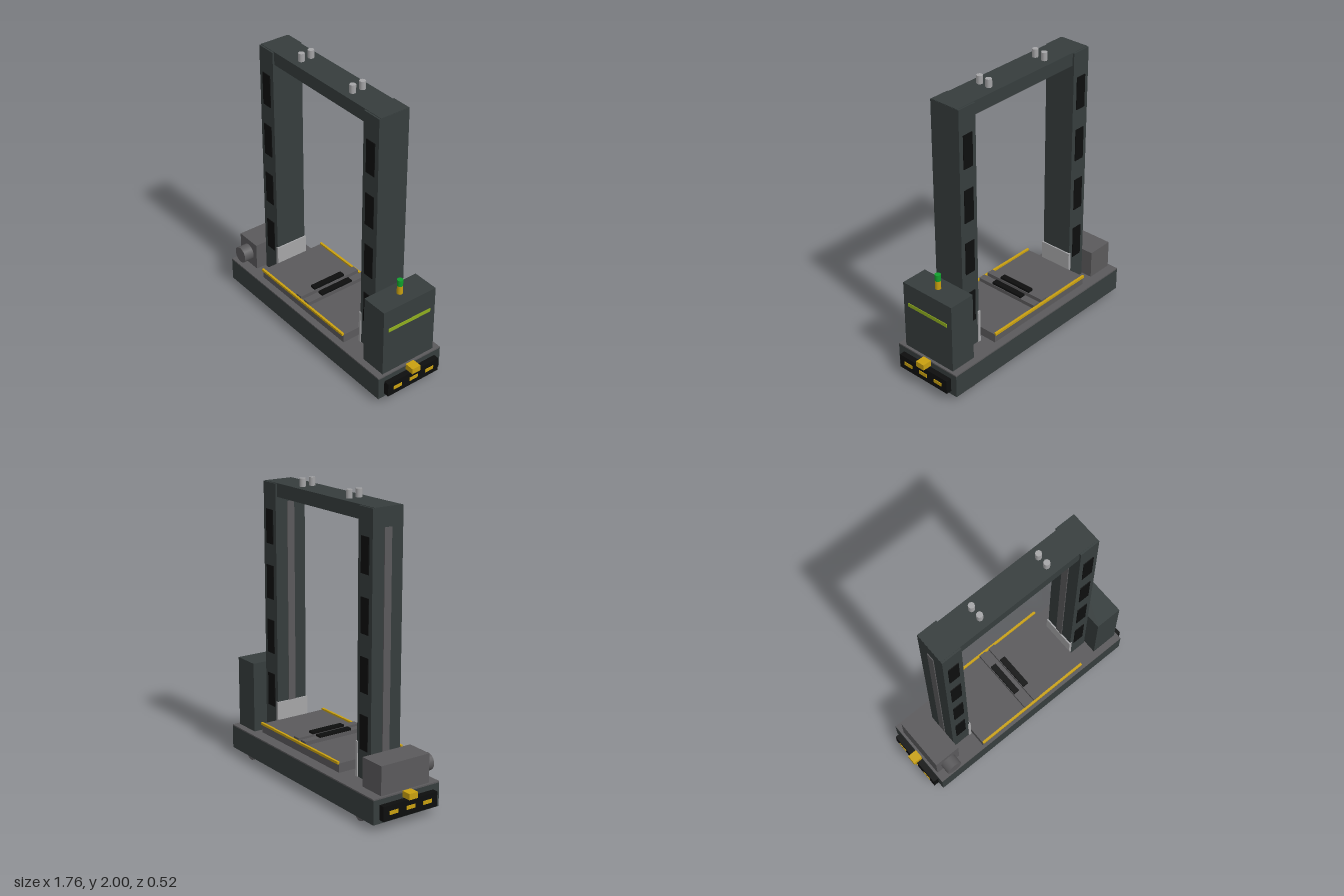
import * as THREE from 'three';

const mat = (name, color) => {
  const m = new THREE.MeshStandardMaterial({ color });
  m.name = name;
  return m;
};

export function createModel() {
  const root = new THREE.Group();
  root.name = 'storageLift';
  const dark = mat('dark slate', 0x363d3d);
  const grey = mat('mid grey', 0x5a595b);
  const light = mat('light grey', 0xa5a5a7);
  const black = mat('black', 0x0d0e0e);
  const yellow = mat('safety yellow', 0xc9a010);
  const green = mat('signal green', 0x12a02c);
  const lime = mat('lime', 0x8fad1f);

  const add = (name, geo, m, x, y, z) => {
    const mesh = new THREE.Mesh(geo, m);
    mesh.name = name;
    mesh.position.set(x, y, z);
    root.add(mesh);
    return mesh;
  };
  // box from its min and max on each axis
  const box = (name, m, x0, x1, y0, y1, z0, z1) =>
    add(name, new THREE.BoxGeometry(x1 - x0, y1 - y0, z1 - z0), m,
      (x0 + x1) / 2, (y0 + y1) / 2, (z0 + z1) / 2);
  // upright cylinder from y0 to y1
  const post = (name, m, r, x, y0, y1, z, sides = 12) =>
    add(name, new THREE.CylinderGeometry(r, r, y1 - y0, sides), m, x, (y0 + y1) / 2, z);
  // cylinder lying along z
  const drum = (name, m, r, len, x, y, z) => {
    add(name, new THREE.CylinderGeometry(r, r, len, 24), m, x, y, z).rotation.x = Math.PI / 2;
  };

  // base with deck plate
  box('base', dark, -0.813, 0.813, 0.043, 0.203, -0.257, 0.257);
  box('deck', grey, -0.813, 0.813, 0.203, 0.212, -0.257, 0.257);

  for (const s of [-1, 1]) {
    const mid = (name, m, cx, w, y0, y1, z0, z1) =>
      box(name, m, s * cx - w / 2, s * cx + w / 2, y0, y1, z0, z1);

    // wheels
    for (const z of [-0.21, 0.21]) drum('wheel', grey, 0.05, 0.03, s * 0.628, 0.05, z);

    // end bumpers with marker plates and sensor
    mid('bumper', black, 0.832, 0.042, 0.068, 0.167, -0.21, 0.21);
    for (const z of [-0.132, 0, 0.132])
      mid('bumperMarker', yellow, 0.854, 0.006, 0.105, 0.13, z - 0.034, z + 0.034);
    mid('endSensor', yellow, 0.845, 0.068, 0.176, 0.217, -0.033, 0.033);

    // mast columns with guide strip on one side
    mid('column', dark, 0.522, 0.142, 0.212, 1.942, -0.114, 0.114);
    box('guideStrip', grey, s * 0.522 - 0.077, s * 0.522 - 0.071, 0.212, 1.82, -0.027, 0.027);

    // dark openings on both column faces
    for (let i = 0; i < 4; i++) {
      const y = 0.522 + i * 0.376;
      for (const f of [-1, 1])
        add('columnOpening', new THREE.BoxGeometry(0.078, 0.23, 0.006), black, s * 0.522, y, f * 0.116);
    }
    // carriage side plate
    mid('carriagePlate', light, 0.451, 0.02, 0.212, 0.45, -0.12, 0.12);

    // platform edge rails
    box('edgeRail', yellow, -0.443, 0.443, 0.32, 0.336, s * 0.25 - 0.008, s * 0.25 + 0.008);

    // telescopic forks
    mid('fork', grey, 0.041, 0.05, 0.322, 0.35, -0.243, 0.243);
    mid('forkBelt', black, 0.041, 0.042, 0.35, 0.365, -0.126, 0.126);

    // top guide rollers
    for (const z of [-0.037, 0.037]) post('topRoller', light, 0.021, s * 0.252, 1.94, 2, z, 8);
  }

  // top beam
  box('topBeam', dark, -0.592, 0.592, 1.855, 1.945, -0.102, 0.102);

  // lifting platform
  box('platform', grey, -0.443, 0.443, 0.262, 0.324, -0.246, 0.246);

  // control cabinet with light strip and beacon
  box('cabinet', dark, 0.602, 0.793, 0.212, 0.7, -0.21, 0.21);
  box('cabinetStripe', lime, 0.791, 0.797, 0.535, 0.56, -0.17, 0.17);
  post('beaconBase', yellow, 0.02, 0.693, 0.7, 0.76, 0);
  post('beaconLamp', green, 0.02, 0.693, 0.76, 0.805, 0);

  // drive unit
  box('driveHousing', grey, -0.796, -0.606, 0.212, 0.407, -0.187, 0.187);
  drum('driveMotor', grey, 0.058, 0.073, -0.7, 0.308, 0.2225);

  return root;
}
